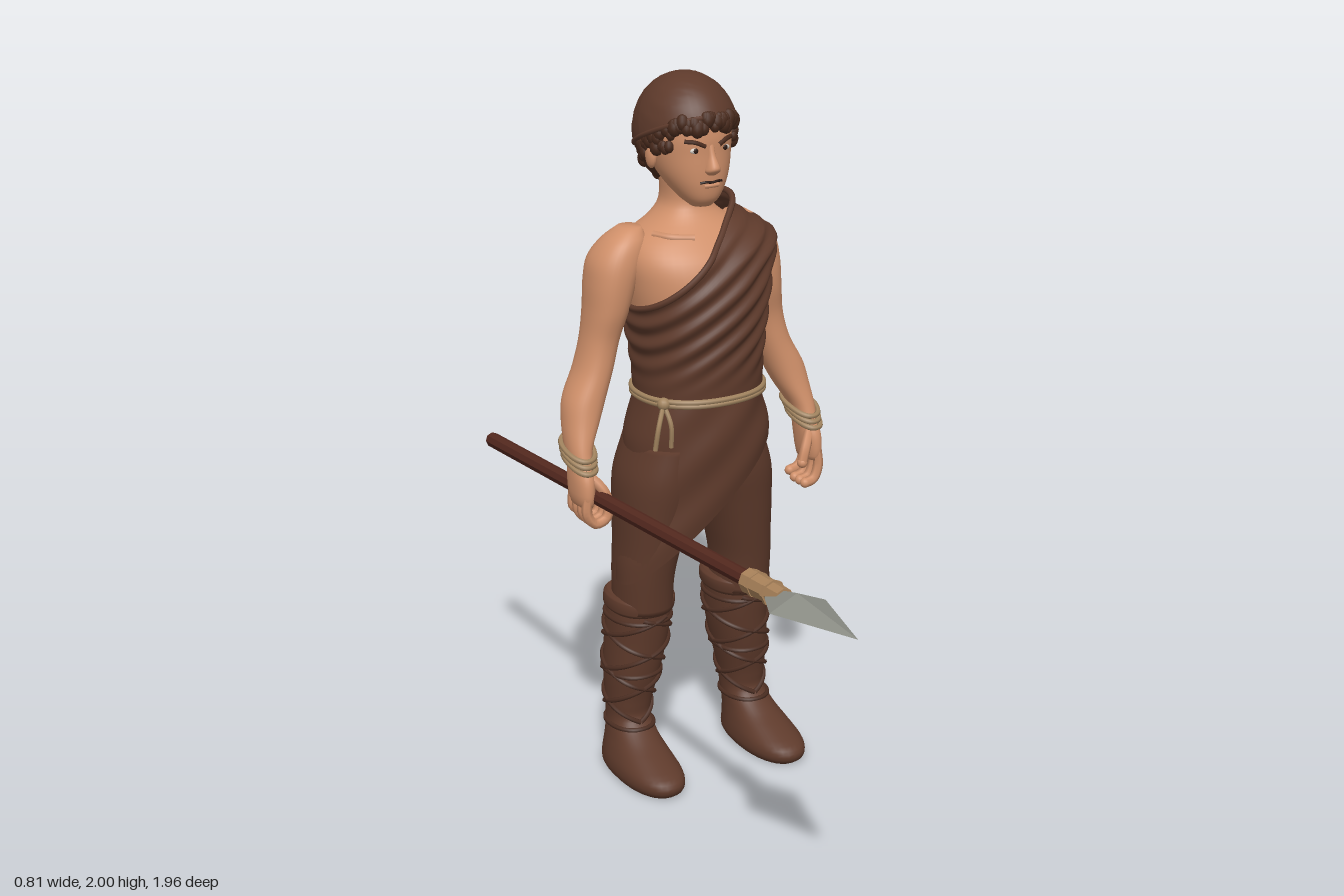
import * as THREE from 'three';

const mat = (name, color, extra = {}) => Object.assign(new THREE.MeshStandardMaterial({ color, ...extra }), { name });
const open = { side: THREE.DoubleSide };
const M = {
  cloth: mat('brown cloth', 0x5e3a2b, open),
  strap: mat('dark leather', 0x4c2e22),
  hair: mat('dark hair', 0x4a2b1d),
  skin: mat('skin', 0xd0906a),
  rope: mat('rope', 0xa38560),
  wood: mat('spear wood', 0x54291f, { flatShading: true }),
  binding: mat('tan binding', 0xa9825a, { flatShading: true }),
  metal: mat('grey metal', 0x8c8e86, { flatShading: true }),
  white: mat('eye white', 0xd8cfc6),
  dark: mat('eye dark', 0x2a1812),
};

// Sections are rows of [y, centre x, centre z, half width, half depth], rising in y.
function at(t, y) {
  let i = 0;
  while (i < t.length - 2 && y > t[i + 1][0]) i++;
  const a = t[Math.max(i - 1, 0)], b = t[i], c = t[i + 1], d = t[Math.min(i + 2, t.length - 1)];
  const h = c[0] - b[0], u = THREE.MathUtils.clamp((y - b[0]) / h, 0, 1), u2 = u * u, u3 = u2 * u;
  return [1, 2, 3, 4].map(k => {
    const m0 = (c[k] - a[k]) / (c[0] - a[0]) * h, m1 = (d[k] - b[k]) / (d[0] - b[0]) * h;
    return (2 * u3 - 3 * u2 + 1) * b[k] + (u3 - 2 * u2 + u) * m0 + (3 * u2 - 2 * u3) * c[k] + (u3 - u2) * m1;
  });
}
// Point on the surface; angle 0 is the front, a quarter turn is the model's left.
function surf(t, ang, y, off = 0, p = 0.9) {
  const [x, z, rx, rz] = at(t, y), pw = v => Math.sign(v) * Math.abs(v) ** p;
  return new THREE.Vector3(x + pw(Math.sin(ang)) * (rx + off), y, z + pw(Math.cos(ang)) * (rz + off));
}
// Skin of rings between a lower and an upper edge, each of which may vary with the angle.
function loft(point, lo, hi, { n = 36, m = 40, caps = true } = {}) {
  const pos = [], idx = [];
  for (let j = 0; j <= m; j++) for (let i = 0; i < n; i++) {
    const a = i / n * Math.PI * 2;
    pos.push(...point(a, THREE.MathUtils.lerp(lo(a), hi(a), j / m)).toArray());
  }
  for (let j = 0; j < m; j++) for (let i = 0; i < n; i++) {
    const k = (i + 1) % n, a = j * n + i, b = j * n + k;
    idx.push(a, b, b + n, a, b + n, a + n);
  }
  if (caps) for (const j of [0, m]) {
    const c = new THREE.Vector3();
    for (let i = 0; i < n; i++) c.add(new THREE.Vector3().fromArray(pos, (j * n + i) * 3));
    pos.push(...c.divideScalar(n).toArray());
    for (let i = 0; i < n; i++) {
      const a = j * n + i, b = j * n + (i + 1) % n, e = pos.length / 3 - 1;
      idx.push(...(j ? [a, b, e] : [b, a, e]));
    }
  }
  const g = new THREE.BufferGeometry();
  g.setAttribute('position', new THREE.Float32BufferAttribute(pos, 3));
  g.setIndex(idx);
  g.computeVertexNormals();
  return g;
}
const solid = (t, opt) => loft((a, y) => surf(t, a, y), () => t[0][0], () => t[t.length - 1][0], opt);
const curve = (pts, closed = false) => new THREE.CatmullRomCurve3(pts, closed);
const tube = (pts, r, closed = false, seg = 40) => new THREE.TubeGeometry(curve(pts, closed), seg, r, 6, closed);
const sample = (n, f) => Array.from({ length: n }, (_, i) => f(i / n));
const V = (x, y, z) => new THREE.Vector3(x, y, z);
// Height at which a surface crosses a slanted edge line.
function crossing(point, line, a, lo, hi) {
  for (let i = 0; i < 24; i++) {
    const y = (lo + hi) / 2;
    if (y < line(point(a, y).x)) lo = y; else hi = y;
  }
  return lo;
}

const TORSO = [[1.08, .012, -.36, .165, .145], [1.14, .012, -.36, .165, .147], [1.25, .012, -.365, .17, .155],
  [1.35, .012, -.37, .182, .168], [1.45, .012, -.375, .198, .172], [1.52, .012, -.385, .2, .16],
  [1.57, .01, -.4, .17, .13], [1.61, .01, -.41, .105, .095], [1.65, .008, -.415, .068, .075], [1.73, .007, -.41, .066, .075]];
const HEAD = [[1.655, .007, -.325, .028, .03], [1.675, .007, -.335, .05, .06], [1.71, .007, -.355, .075, .09],
  [1.75, .007, -.375, .094, .113], [1.8, .007, -.39, .105, .128], [1.85, .007, -.395, .108, .133],
  [1.91, .007, -.4, .1, .125], [1.96, .007, -.4, .06, .08]];
const SCALP = [[1.68, .007, -.405, .075, .09], [1.75, .007, -.4, .1, .125], [1.82, .007, -.4, .112, .143], [1.92, .007, -.4, .112, .14]];
const SKIRT = [[.55, .007, -.37, .25, .13], [.75, .007, -.37, .225, .15], [.9, .01, -.37, .212, .163],
  [1, .012, -.37, .203, .17], [1.07, .012, -.365, .187, .163], [1.14, .012, -.36, .172, .152]];
const PELVIS = [[.85, .008, -.375, .12, .12], [.9, .008, -.375, .185, .145], [1, .012, -.37, .192, .16], [1.12, .012, -.36, .165, .147]];

export function createModel() {
  const root = new THREE.Group();
  const add = (name, geo, m, parent = root) => {
    const mesh = new THREE.Mesh(geo, m);
    mesh.name = name;
    parent.add(mesh);
    return mesh;
  };
  const ball = (name, m, p, r, s = [1, 1, 1], parent = root) => {
    const b = add(name, new THREE.SphereGeometry(r, 14, 10), m, parent);
    b.position.copy(p);
    b.scale.set(...s);
    return b;
  };

  // Torso, collarbone and pelvis
  add('torso', solid(TORSO, { n: 48, m: 50 }), M.skin);
  add('collarbone', tube([-.25, -.7, -1.15].map((a, i) => surf(TORSO, a, 1.575 + i * .004, -.006)), .011), M.skin);
  add('trouserSeat', solid(PELVIS), M.cloth);

  // One-shouldered tunic with slanted folds
  const tunic = (a, y) => {
    const flat = surf(TORSO, a, y), s = y - .82 * flat.x;
    const left = Math.max(0, Math.sin(a)) * THREE.MathUtils.smoothstep(y, 1.46, 1.57);
    const fade = THREE.MathUtils.smoothstep(y, 1.14, 1.3);
    return surf(TORSO, a, y, .014 + .042 * left + .0055 * fade * Math.sin(s * 95 + Math.sin(flat.x * 14)));
  };
  const neckline = x => 1.402 + .82 * (x + .18);
  const tunicTop = a => crossing(tunic, neckline, a, 1.12, 1.66);
  add('tunic', loft(tunic, () => 1.12, tunicTop, { n: 96, m: 60, caps: false }), M.cloth);
  add('tunicHem', tube(sample(48, u => tunic(u * Math.PI * 2, tunicTop(u * Math.PI * 2))), .009, true, 96), M.cloth);

  // Slanted wrap skirt ending in a point on the right
  const skirt = (a, y) => {
    const s = y - .94 * surf(SKIRT, a, y).x;
    return surf(SKIRT, a, y, .003 + .003 * Math.sin(s * 38));
  };
  const hem = a => crossing(skirt, x => .815 + .94 * x, a, .55, 1.1);
  add('skirt', loft(skirt, hem, () => 1.14, { n: 80, m: 40, caps: false }), M.cloth);

  // Rope belt, knot and loose ends
  for (const y of [1.13, 1.141]) add('belt', tube(sample(32, u => surf(TORSO, u * Math.PI * 2, y, .017)), .008, true, 80), M.rope);
  const knot = surf(TORSO, -1, 1.135, .022);
  ball('beltKnot', M.rope, knot, .018);
  for (const d of [-.03, .008])
    add('beltEnd', tube([knot, V(knot.x + d, 1.08, knot.z + .025), V(knot.x + d * 1.3, 1.015, knot.z + .02)], .007), M.rope);

  // Legs and strapped boots
  for (const s of [1, -1]) {
    const flip = t => t.map(([y, x, ...r]) => [y, x * s, ...r]);
    const leg = new THREE.Group();
    leg.name = s > 0 ? 'leftLeg' : 'rightLeg';
    root.add(leg);
    add('trouserLeg', solid(flip([[.5, .157, -.39, .08, .095], [.6, .157, -.385, .08, .105], [.7, .145, -.38, .087, .118],
      [.8, .132, -.378, .098, .133], [.9, .115, -.375, .108, .145], [1, .1, -.37, .09, .14]])), M.cloth, leg);
    const boot = flip([[0, .2, -.325, .075, .165], [.015, .2, -.325, .085, .182], [.045, .2, -.328, .084, .178],
      [.075, .198, -.36, .075, .142], [.105, .195, -.395, .066, .105], [.15, .19, -.428, .06, .074], [.2, .188, -.43, .063, .073],
      [.3, .178, -.425, .076, .09], [.4, .165, -.42, .084, .1], [.48, .16, -.412, .086, .102], [.53, .156, -.412, .084, .1]]);
    add('boot', solid(boot, { m: 60 }), M.cloth, leg);
    add('bootCuff', solid(flip([[.49, .158, -.412, .087, .105], [.5, .158, -.412, .093, .112],
      [.53, .156, -.41, .093, .112], [.54, .156, -.41, .084, .102]])), M.cloth, leg);
    for (const dir of [1, -1]) for (const start of [0, Math.PI])
      add('bootStrap', tube(sample(50, u => surf(boot, start + dir * u * 10, .15 + u * .34, .002)), .007, false, 110), M.strap, leg);
    for (const y of [.135, .3, .47])
      add('bootStrap', tube(sample(24, u => surf(boot, u * Math.PI * 2, y, .001)), .007, true, 48), M.strap, leg);
  }

  // Arms, wrist ropes and hands
  for (const s of [1, -1]) {
    const arm = new THREE.Group();
    arm.name = s > 0 ? 'leftArm' : 'rightArm';
    root.add(arm);
    const rows = [[.865, .362, -.342, .02, .05], [.89, .363, -.342, .026, .057], [.94, .361, -.347, .029, .058],
      [.98, .358, -.358, .029, .05], [1.02, .354, -.372, .034, .052], [1.08, .335, -.395, .048, .06], [1.14, .315, -.41, .056, .065],
      [1.22, .28, -.42, .051, .066], [1.3, .258, -.42, .05, .066], [1.38, .24, -.415, .057, .078], [1.46, .224, -.415, .067, .085],
      [1.52, .205, -.415, .073, .082], [1.57, .182, -.41, .058, .062], [1.6, .165, -.41, .03, .035]].map(([y, x, ...r]) => [y, x * s, ...r]);
    add('arm', solid(rows, { m: 60 }), M.skin, arm);
    for (let k = 0; k < 3; k++)
      add('wristRope', tube(sample(24, u => surf(rows, u * Math.PI * 2, .983 + k * .016 - .02 * Math.cos(u * Math.PI * 2), .006)), .008, true, 48), M.rope, arm);
    const digit = (name, pts, r) => {
      const p = pts.map(([x, y, z]) => V(x * s, y, z));
      add(name, tube(p, r, false, 16), M.skin, arm);
      ball(name + 'Tip', M.skin, p[p.length - 1], r, [1, 1, 1], arm);
    };
    // The right fingers close around the spear
    for (let k = 0; k < 4; k++) {
      const z = -.3 - k * .028, d = k === 3 ? .012 : 0;
      digit('finger', s > 0 ? [[.365, .9, z], [.368, .845, z + .003], [.352, .81 + d, z + .004], [.325, .802 + d, z + .004]]
        : [[.365, .9, z], [.368, .845, z], [.345, .815 + d, z], [.312, .825 + d, z], [.3, .858, z]], .0145);
    }
    digit('thumb', [[.35, .95, -.315], [.322, .91, -.29], [.308, .87, -.285]], .015);
  }

  // Head and face
  add('head', solid(HEAD, { n: 44, m: 44 }), M.skin);
  add('nose', solid([[1.748, .007, -.268, .012, .015], [1.757, .007, -.266, .021, .026], [1.768, .007, -.264, .019, .031],
    [1.8, .007, -.27, .011, .019], [1.835, .007, -.275, .011, .012]], { n: 16, m: 20 }), M.skin);
  add('mouth', tube([-.36, -.18, 0, .18, .36].map((a, i) => surf(HEAD, a, 1.727 + (i % 2) * .002, 0)), .0035), M.dark);
  add('lowerLip', tube([-.24, 0, .24].map(a => surf(HEAD, a, 1.718, 0)), .006), M.skin);
  for (const s of [1, -1]) {
    ball('eye', M.white, surf(HEAD, s * .4, 1.815, -.002), .015, [1, .5, .35]);
    ball('iris', M.dark, surf(HEAD, s * .38, 1.815, .002), .007, [1, 1, .4]);
    add('eyebrow', tube([[.15, 1.826], [.4, 1.838], [.65, 1.84]].map(([a, y]) => surf(HEAD, s * a, y, .002)), .0065), M.hair);
    ball('ear', M.skin, V(.007 + s * .11, 1.785, -.395), .03, [.45, 1.1, .75]);
  }

  // Curly hair below the cap
  ball('hairBack', M.hair, V(.007, 1.81, -.455), .11, [1.03, 1.1, .9]);
  let seed = 7;
  const rnd = () => (seed = (seed * 16807) % 2147483647) / 2147483647;
  for (let i = 0; i < 130; i++) {
    const a = i / 130 * Math.PI * 2, c = Math.cos(a);
    const low = c > .6 ? 1.872 : c > 0 ? 1.815 : 1.805 + .1 * c, rim = 1.842 + .062 * c;
    const curl = add('curl', new THREE.IcosahedronGeometry(.012 + rnd() * .008, 1), M.hair);
    curl.position.copy(surf(SCALP, a, THREE.MathUtils.lerp(low, rim, rnd()), 0));
    curl.scale.y = 1.3;
  }

  // Round cap tilted back
  const cap = new THREE.Group();
  cap.name = 'cap';
  cap.position.set(.007, 1.84, -.405);
  cap.rotation.x = -.41;
  root.add(cap);
  const dome = new THREE.SphereGeometry(1, 48, 24, 0, Math.PI * 2, 0, Math.PI / 2);
  dome.scale(.136, .159, .164);
  const dp = dome.attributes.position;
  for (let i = 0; i < dp.count; i++) {
    const v = V(0, 0, 0).fromBufferAttribute(dp, i);
    v.multiplyScalar(1 + .008 * Math.sin(v.x * 190) * Math.sin(v.z * 190) * Math.cos(v.y * 150));
    dp.setXYZ(i, v.x, v.y, v.z);
  }
  dome.computeVertexNormals();
  add('capDome', dome, M.cloth, cap);
  add('capRim', tube(sample(24, u => V(.134 * Math.sin(u * Math.PI * 2), 0, .162 * Math.cos(u * Math.PI * 2))), .007, true, 64), M.cloth, cap);

  // Spear, built upright and laid along z
  const spear = new THREE.Group();
  spear.name = 'spear';
  spear.position.set(-.333, .91, 0);
  spear.rotation.x = Math.PI / 2 - .068;
  root.add(spear);
  const piece = (name, top, bottom, y0, y1, sides, m, sx = 1, sz = 1) => {
    const p = add(name, new THREE.CylinderGeometry(top, bottom, y1 - y0, sides), m, spear);
    p.position.y = (y0 + y1) / 2;
    p.scale.set(sx, 1, sz);
  };
  piece('shaft', .021, .022, -.98, .6, 8, M.wood);
  piece('socket', .027, .033, .5, .66, 8, M.binding);
  for (const y of [.53, .6]) piece('socketBand', .034, .034, y, y + .012, 8, M.binding);
  piece('bladeBase', 1, .4, .62, .72, 4, M.metal, .078, .034);
  piece('bladeTip', 0, 1, .72, .98, 4, M.metal, .078, .034);
  return root;
}
